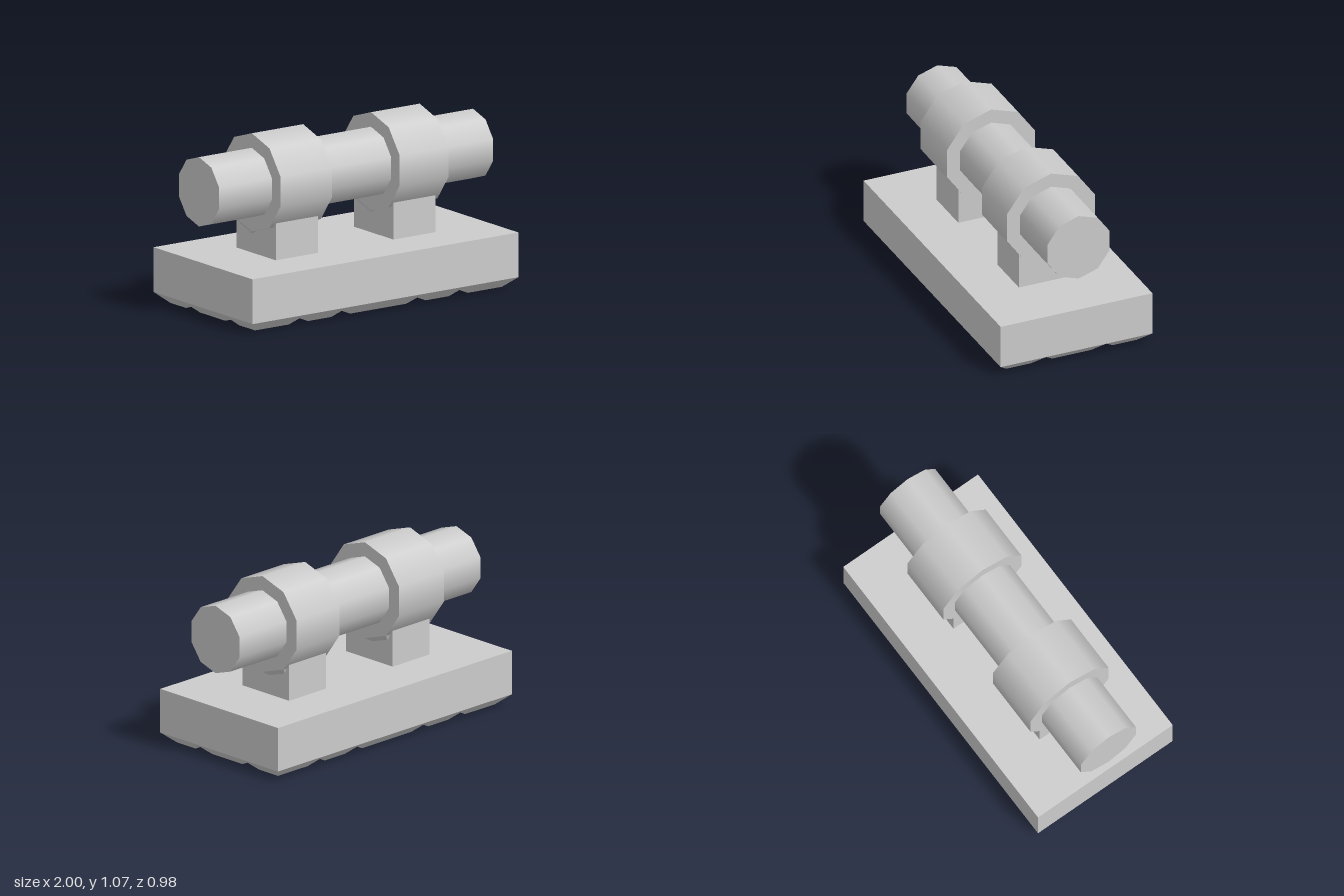
import * as THREE from 'three';

const material = new THREE.MeshStandardMaterial({ color: 0xcccccc });

// Block whose bottom face is drawn in by inset; its top sits at y = 0
function taperedBlock(width, height, depth, inset) {
  const geometry = new THREE.BoxGeometry(width, height, depth).translate(0, -height / 2, 0);
  const p = geometry.attributes.position;
  for (let i = 0; i < p.count; i++) {
    if (p.getY(i) < -height / 2) {
      p.setX(i, p.getX(i) - Math.sign(p.getX(i)) * inset);
      p.setZ(i, p.getZ(i) - Math.sign(p.getZ(i)) * inset);
    }
  }
  geometry.computeVertexNormals();
  return geometry;
}

// Ten-sided cylinder lying along x with a corner at the top
function bar(radius, length) {
  return new THREE.CylinderGeometry(radius, radius, length, 10, 1, false, Math.PI / 2)
    .rotateZ(Math.PI / 2);
}

export function createModel() {
  const model = new THREE.Group();
  const add = (name, geometry, x, y, z = 0) => {
    const mesh = new THREE.Mesh(geometry, material);
    mesh.name = name;
    mesh.position.set(x, y, z);
    model.add(mesh);
    return mesh;
  };

  const baseBottom = 0.062, baseTop = 0.333, axisY = 0.77;

  // Base slab
  add('base', new THREE.BoxGeometry(1.94, baseTop - baseBottom, 0.98), 0, (baseTop + baseBottom) / 2);

  // Grid of bevelled pads under the base, meeting in V grooves
  const xs = [-0.97, -0.583, -0.275, 0.275, 0.583, 0.97];
  const zs = [-0.49, -0.195, 0.195, 0.49];
  for (let i = 0; i < xs.length - 1; i++) {
    for (let j = 0; j < zs.length - 1; j++) {
      add('basePad',
        taperedBlock(xs[i + 1] - xs[i], baseBottom, zs[j + 1] - zs[j], 0.07),
        (xs[i] + xs[i + 1]) / 2, baseBottom, (zs[j] + zs[j + 1]) / 2);
    }
  }

  // Horizontal bar
  add('bar', bar(0.21, 2), 0, axisY);

  // Two collars on posts
  const ringRadius = 0.298, tilt = Math.PI / 10;
  const facet = 2 * ringRadius * Math.sin(tilt);
  const apothem = ringRadius * Math.cos(tilt);
  for (const side of [-1, 1]) {
    const width = side < 0 ? 0.375 : 0.355;
    const x = side < 0 ? -0.427 : 0.433;
    add('collar', bar(ringRadius, width), x, axisY);
    add('post', new THREE.BoxGeometry(0.307, 0.267, 0.39), side * 0.429, baseTop + 0.1335);

    // Bevelled pad on the lower rear facet of the collar
    const pad = add('collarPad', taperedBlock(width, 0.028, facet, 0.026), x,
      axisY - apothem * Math.cos(tilt), -apothem * Math.sin(tilt));
    pad.rotation.x = tilt;
  }

  return model;
}
